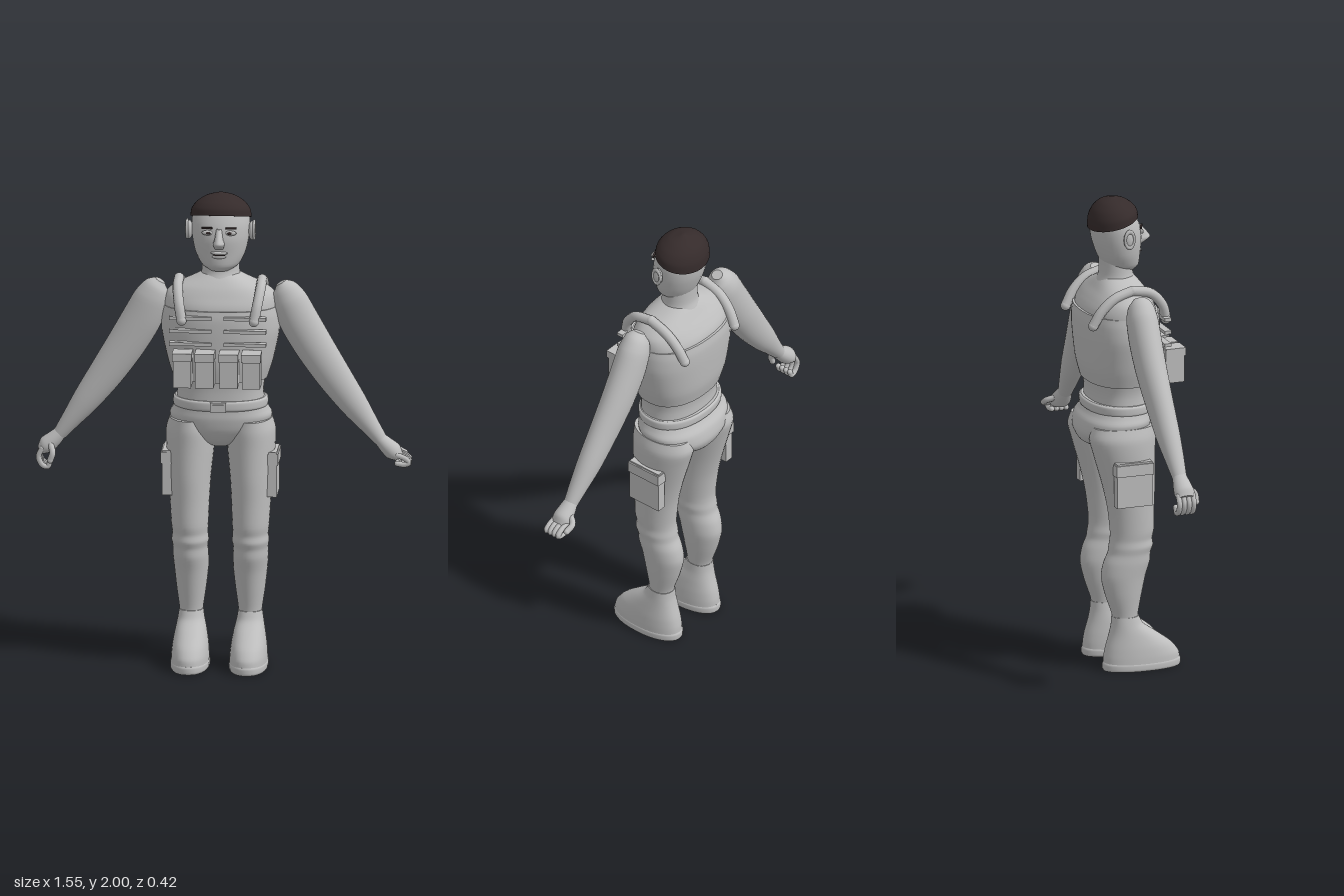
import * as THREE from 'three';

const paint = (name, color) => {
  const m = new THREE.MeshStandardMaterial({ color });
  m.name = name;
  return m;
};
const grey = paint('grey', 0xbebebe);
const dark = paint('dark brown', 0x352b2b);

const V = (x, y, z) => new THREE.Vector3(x, y, z);

// Smooth closed skin over rows [x, y, z, radiusA, radiusZ].
// Upright rings by default (rows go upward); bend = rings follow the path.
function loft(rows, { n = 32, sub = 4, p = 2, bend = false, tilt = 0 } = {}) {
  const centres = new THREE.CatmullRomCurve3(rows.map(r => V(r[0], r[1], r[2])), false, 'catmullrom', 0.4);
  const radii = new THREE.CatmullRomCurve3(rows.map(r => V(r[3], r[4], 0)), false, 'catmullrom', 0.4);
  const m = (rows.length - 1) * sub;
  const pos = [], index = [], ends = [];
  const pw = v => Math.sign(v) * Math.pow(Math.abs(v), 2 / p);
  for (let i = 0; i <= m; i++) {
    const c = centres.getPoint(i / m), r = radii.getPoint(i / m);
    const a = V(1, 0, 0), b = V(0, tilt * (1 - i / m), 1);
    if (bend) {
      const t = centres.getTangent(i / m);
      b.set(0, 0, 1).addScaledVector(t, -t.z).normalize();
      a.crossVectors(t, b);
    }
    const ring = [];
    for (let j = 0; j < n; j++) {
      const th = j / n * Math.PI * 2;
      const q = c.clone().addScaledVector(a, Math.max(r.x, 0.001) * pw(Math.cos(th)))
        .addScaledVector(b, Math.max(r.y, 0.001) * pw(Math.sin(th)));
      ring.push(q);
      pos.push(q.x, q.y, q.z);
      if (i < m) {
        const k = (j + 1) % n, A = i * n, B = A + n;
        index.push(A + j, B + j, A + k, B + j, B + k, A + k);
      }
    }
    if (i === 0 || i === m) ends.push([c, ring]);
  }
  // flat caps with their own corners
  ends.forEach(([c, ring], e) => {
    const s = pos.length / 3;
    pos.push(c.x, c.y, c.z);
    ring.forEach(q => pos.push(q.x, q.y, q.z));
    for (let j = 0; j < n; j++) {
      const u = s + 1 + j, w = s + 1 + (j + 1) % n;
      index.push(s, ...(e ? [w, u] : [u, w]));
    }
  });
  const g = new THREE.BufferGeometry();
  g.setAttribute('position', new THREE.Float32BufferAttribute(pos, 3));
  g.setIndex(index);
  g.computeVertexNormals();
  return g;
}

// Row from y, half width, front z, back z and optional x
const row = (y, rx, front, back, x = 0) => [x, y, (front + back) / 2, rx, (front - back) / 2];

export function createModel() {
  const model = new THREE.Group();
  model.name = 'figure';
  const body = new THREE.Group();
  body.name = 'body';
  body.position.x = -0.025;
  model.add(body);

  const add = (name, geo, mat = grey, x = 0, y = 0, z = 0) => {
    const mesh = new THREE.Mesh(geo, mat);
    mesh.name = name;
    mesh.position.set(x, y, z);
    body.add(mesh);
    return mesh;
  };
  const box = (name, w, h, d, x, y, z, mat) => add(name, new THREE.BoxGeometry(w, h, d), mat, x, y, z);
  const ball = (name, w, h, d, x, y, z, mat) => {
    const b = add(name, new THREE.SphereGeometry(1, 20, 14), mat, x, y, z);
    b.scale.set(w, h, d);
    return b;
  };
  const tube = (name, pts, r) => {
    const curve = new THREE.CatmullRomCurve3(pts.map(q => V(...q)));
    add(name, new THREE.TubeGeometry(curve, 16, r, 10));
    for (const q of [pts[0], pts[pts.length - 1]]) ball(name + 'End', r, r, r, ...q);
  };

  // Head, face and hair
  add('head', loft([row(1.685, 0.045, 0.05, -0.05), row(1.71, 0.08, 0.066, -0.085),
    row(1.76, 0.105, 0.07, -0.11), row(1.82, 0.118, 0.075, -0.13), row(1.88, 0.121, 0.066, -0.138),
    row(1.94, 0.108, 0.04, -0.13), row(1.98, 0.05, 0, -0.09)]));
  add('hair', loft([row(1.897, 0.127, 0.059, -0.146), row(1.93, 0.122, 0.053, -0.143),
    row(1.96, 0.1, 0.035, -0.128), row(1.985, 0.062, 0.005, -0.098), row(2, 0.006, -0.04, -0.052)],
    { tilt: 0.27 }), dark);
  add('nose', loft([[0, 1.785, 0.068, 0.018, 0.008], [0, 1.81, 0.082, 0.024, 0.038],
    [0, 1.828, 0.08, 0.018, 0.034], [0, 1.87, 0.065, 0.011, 0.012]], { n: 16 }));
  ball('upperLip', 0.036, 0.008, 0.012, 0, 1.768, 0.066);
  ball('lowerLip', 0.03, 0.009, 0.012, 0, 1.752, 0.064);
  box('mouthLine', 0.05, 0.003, 0.006, 0, 1.76, 0.072, dark);
  for (const s of [-1, 1]) {
    ball('eyeSocket', 0.025, 0.011, 0.008, s * 0.047, 1.853, 0.064);
    ball('eye', 0.013, 0.006, 0.004, s * 0.047, 1.853, 0.07, dark).rotation.y = s * 0.35;
    const brow = box('eyebrow', 0.046, 0.007, 0.008, s * 0.05, 1.873, 0.064, dark);
    brow.rotation.set(0, s * 0.4, -s * 0.08);
    ball('ear', 0.015, 0.04, 0.023, s * 0.13, 1.845, -0.02);
    const rim = add('earRim', new THREE.TorusGeometry(0.02, 0.006, 8, 20), grey, s * 0.139, 1.848, -0.02);
    rim.rotation.y = Math.PI / 2;
    rim.scale.y = 1.7;
  }

  // Neck, torso and vest
  add('neck', loft([row(1.6, 0.12, 0.08, -0.125), row(1.645, 0.088, 0.055, -0.11),
    row(1.68, 0.078, 0.04, -0.1), row(1.76, 0.076, 0.035, -0.1)]));
  add('torso', loft([row(1.12, 0.182, 0.1, -0.15), row(1.19, 0.18, 0.1, -0.15),
    row(1.28, 0.2, 0.11, -0.165), row(1.42, 0.232, 0.12, -0.18), row(1.53, 0.235, 0.118, -0.18),
    row(1.58, 0.225, 0.098, -0.155), row(1.615, 0.185, 0.08, -0.13), row(1.645, 0.12, 0.058, -0.11),
    row(1.67, 0.07, 0.035, -0.09)], { n: 48, p: 2.3 }));
  add('vest', loft([row(1.225, 0.195, 0.115, -0.165), row(1.3, 0.219, 0.128, -0.183),
    row(1.42, 0.244, 0.134, -0.193), row(1.49, 0.243, 0.134, -0.195), row(1.53, 0.236, 0.128, -0.19)],
    { n: 48, p: 2.3 }));
  for (const s of [-1, 1]) {
    for (const y of [1.505, 1.45, 1.395]) box('vestWebbing', 0.175, 0.014, 0.03, s * 0.113, y, 0.126);
    for (const x of [0.05, 0.143]) {
      box('ammoPouch', 0.075, 0.14, 0.08, s * x, 1.295, 0.165);
      box('pouchFlap', 0.081, 0.034, 0.086, s * x, 1.355, 0.169);
    }
    tube('shoulderStrapFront', [[s * 0.15, 1.495, 0.135], [s * 0.162, 1.56, 0.115],
      [s * 0.172, 1.62, 0.06], [s * 0.172, 1.638, -0.02]], 0.021);
    tube('shoulderStrapBack', [[s * 0.172, 1.638, -0.02], [s * 0.172, 1.61, -0.1],
      [s * 0.167, 1.56, -0.155], [s * 0.16, 1.5, -0.19]], 0.021);
  }

  // Belt and hips
  add('belt', loft([row(1.1, 0.188, 0.104, -0.162), row(1.108, 0.196, 0.111, -0.17),
    row(1.135, 0.196, 0.111, -0.17), row(1.143, 0.188, 0.104, -0.162)], { n: 48, p: 2.2 }));
  box('beltBuckle', 0.066, 0.042, 0.02, 0, 1.121, 0.108);
  box('bucklePlate', 0.046, 0.024, 0.006, 0, 1.121, 0.12);
  add('hips', loft([row(0.935, 0.045, 0.03, -0.12), row(0.965, 0.12, 0.065, -0.18),
    row(1.01, 0.19, 0.09, -0.2), row(1.06, 0.212, 0.1, -0.19), row(1.09, 0.2, 0.1, -0.17),
    row(1.13, 0.183, 0.1, -0.15)], { n: 48, p: 2.3 }));

  for (const s of [-1, 1]) {
    // Leg with soft folds at the knee
    add('leg', loft([row(0.2, 0.046, 0.018, -0.088, s * 0.122), row(0.24, 0.05, 0.02, -0.092, s * 0.122),
      row(0.32, 0.062, 0.035, -0.12, s * 0.122), row(0.4, 0.071, 0.052, -0.138, s * 0.122),
      row(0.46, 0.074, 0.07, -0.128, s * 0.124), row(0.5, 0.073, 0.073, -0.11, s * 0.125),
      row(0.53, 0.077, 0.083, -0.105, s * 0.125), row(0.56, 0.074, 0.08, -0.1, s * 0.125),
      row(0.6, 0.077, 0.087, -0.1, s * 0.126), row(0.7, 0.082, 0.088, -0.112, s * 0.127),
      row(0.8, 0.088, 0.092, -0.135, s * 0.127), row(0.93, 0.1, 0.092, -0.172, s * 0.126),
      row(1.0, 0.101, 0.094, -0.19, s * 0.126), row(1.05, 0.084, 0.09, -0.175, s * 0.128)]));

    // Boot and sole
    add('boot', loft([row(0.03, 0.079, 0.203, -0.128, s * 0.121), row(0.06, 0.078, 0.197, -0.126, s * 0.121),
      row(0.1, 0.074, 0.165, -0.118, s * 0.121), row(0.15, 0.065, 0.098, -0.103, s * 0.121),
      row(0.19, 0.056, 0.042, -0.094, s * 0.122), row(0.228, 0.05, 0.022, -0.091, s * 0.122)], { p: 2.2 }));
    add('sole', loft([row(0, 0.077, 0.203, -0.129, s * 0.121), row(0.008, 0.081, 0.207, -0.132, s * 0.121),
      row(0.026, 0.081, 0.207, -0.132, s * 0.121), row(0.034, 0.077, 0.203, -0.128, s * 0.121)], { p: 2.2 }));

    // Thigh pouch
    box('thighPouch', 0.04, 0.19, 0.155, s * 0.217, 0.82, -0.035);
    box('thighPouchFlap', 0.048, 0.048, 0.163, s * 0.219, 0.884, -0.035);

    // Arm
    add('arm', loft([[0.25, 1.626, -0.02, 0.022, 0.025], [0.265, 1.6, -0.02, 0.054, 0.05],
      [0.286, 1.55, -0.022, 0.074, 0.064], [0.325, 1.465, -0.022, 0.082, 0.066],
      [0.39, 1.354, -0.02, 0.08, 0.063], [0.47, 1.233, -0.014, 0.072, 0.056],
      [0.554, 1.116, -0.008, 0.058, 0.049], [0.617, 1.032, -0.003, 0.041, 0.039],
      [0.665, 0.968, 0, 0.029, 0.03]].map(r => [s * r[0], ...r.slice(1)]), { bend: true }));

    // Hand: palm, curled fingers and thumb
    add('palm', loft([[0.66, 0.975, 0, 0.027, 0.029], [0.69, 0.945, 0, 0.034, 0.038],
      [0.718, 0.92, 0, 0.037, 0.043], [0.74, 0.9, 0, 0.022, 0.038]].map(r => [s * r[0], ...r.slice(1)]),
      { bend: true, n: 20 }));
    const curl = s < 0
      ? [[0.735, 0.912], [0.75, 0.878], [0.735, 0.842], [0.712, 0.834], [0.703, 0.855]]
      : [[0.733, 0.912], [0.77, 0.897], [0.785, 0.88], [0.765, 0.872], [0.735, 0.876]];
    for (let f = 0; f < 4; f++) {
      tube('finger', curl.map(([x, y]) => [s * x, y, -0.032 + f * 0.021]), 0.0115);
    }
    tube('thumb', (s < 0
      ? [[0.7, 0.93, 0.03], [0.69, 0.9, 0.058], [0.7, 0.868, 0.06]]
      : [[0.7, 0.935, -0.03], [0.725, 0.92, -0.06], [0.76, 0.902, -0.058]])
      .map(q => [s * q[0], q[1], q[2]]), 0.013);
  }
  return model;
}
